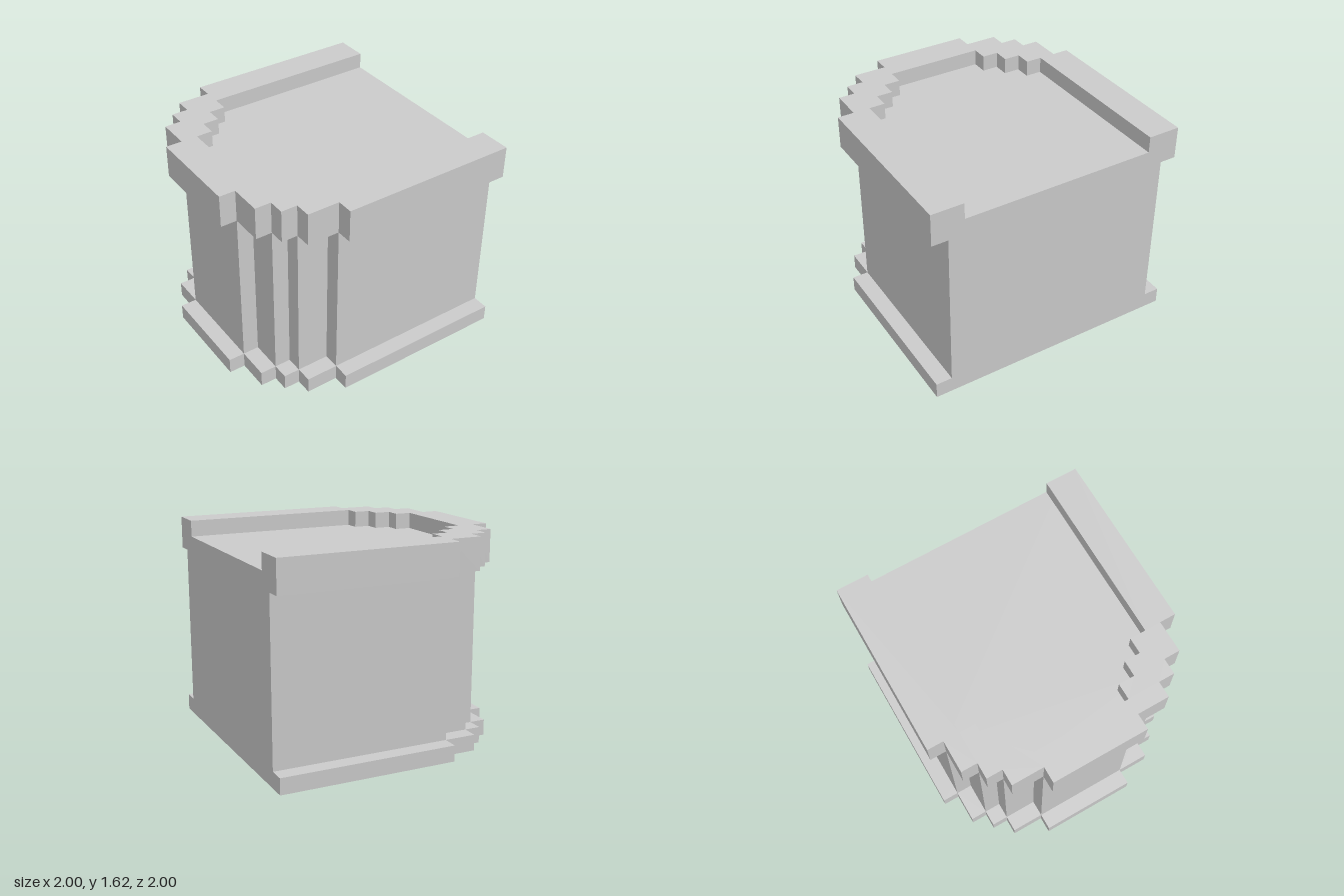
import * as THREE from 'three';

// Half outlines as [x, z], running from the flat +x side to the stepped -x end
const OUTER = [[1, 1], [-0.375, 1], [-0.375, 0.875], [-0.625, 0.875], [-0.625, 0.75],
  [-0.75, 0.75], [-0.75, 0.625], [-0.875, 0.625], [-0.875, 0.375], [-1, 0.375]];
const BODY = [[1, 0.875], [-0.375, 0.875], [-0.375, 0.75], [-0.625, 0.75], [-0.625, 0.625],
  [-0.75, 0.625], [-0.75, 0.375], [-0.875, 0.375]];
const RECESS = [[1, 0.75], [-0.375, 0.75], [-0.375, 0.625], [-0.5, 0.625], [-0.5, 0.5],
  [-0.625, 0.5], [-0.625, 0.375], [-0.75, 0.375]];

// Mirror a half outline across z = 0
const mirrored = (half) => [...half, ...half.map(([x, z]) => [x, -z]).reverse()];

export function createModel() {
  const group = new THREE.Group();
  group.name = 'steppedPedestal';
  const material = new THREE.MeshStandardMaterial({ color: 0xcccccc, flatShading: true });

  // Vertical prism over a plan outline
  const addPrism = (name, outline, bottom, top) => {
    const shape = new THREE.Shape(outline.map(([x, z]) => new THREE.Vector2(x, z)));
    const geometry = new THREE.ExtrudeGeometry(shape, { depth: top - bottom, bevelEnabled: false });
    geometry.rotateX(Math.PI / 2).translate(0, top, 0);
    const mesh = new THREE.Mesh(geometry, material);
    mesh.name = name;
    group.add(mesh);
  };

  addPrism('basePlinth', mirrored(OUTER), 0, 0.125);
  // The body's top is the floor of the recess
  addPrism('body', mirrored(BODY), 0.125, 1.5);
  // Raised rim, open on the flat +x side
  addPrism('topRim', [...mirrored(OUTER), ...mirrored(RECESS).reverse()], 1.375, 1.625);

  return group;
}
